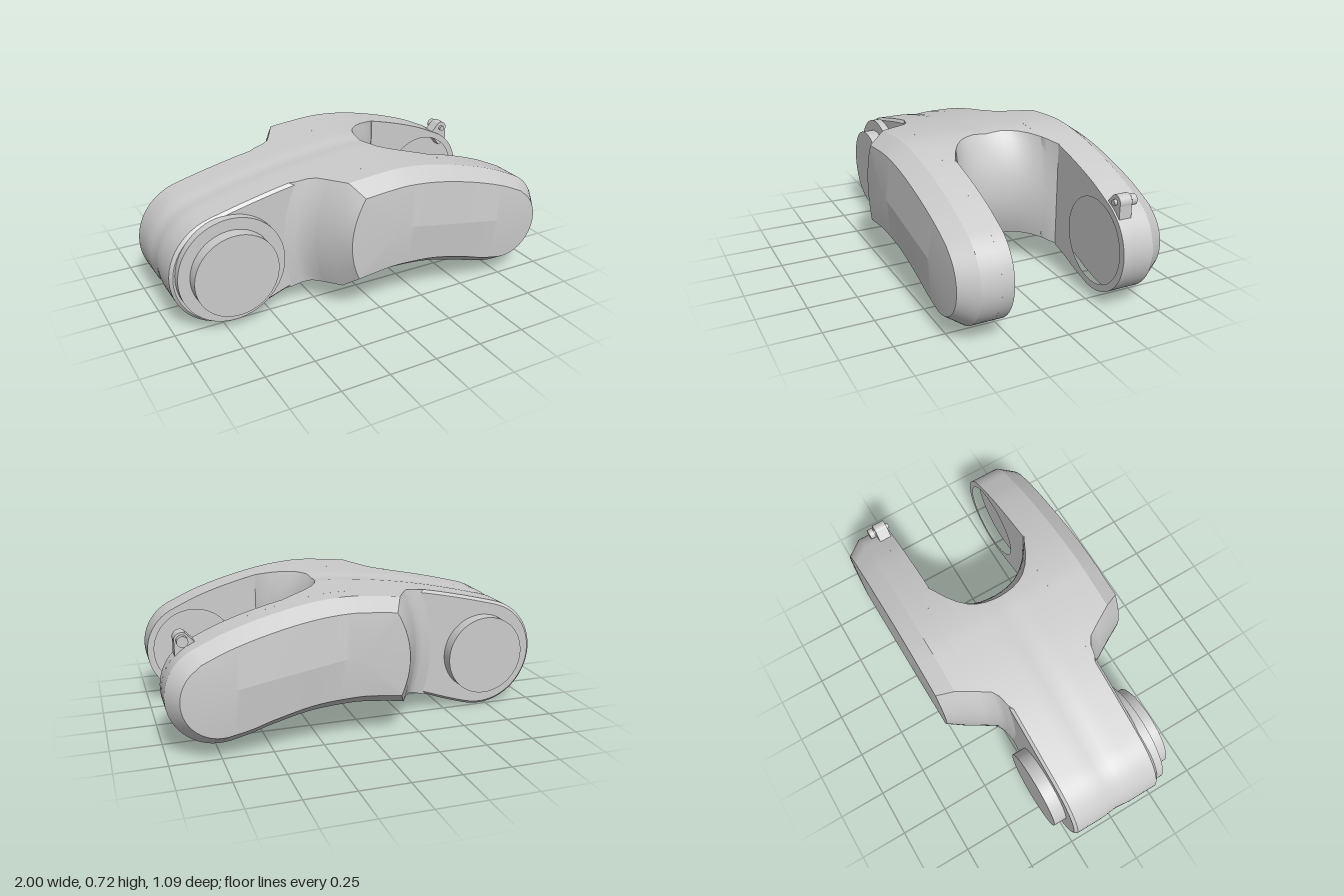
import * as THREE from 'three';
import { toCreasedNormals } from 'three/addons/utils/BufferGeometryUtils.js';

const grey = new THREE.MeshStandardMaterial({ color: 0xcccccc });
const N = 44, M = 14; // points along the top/bottom and along each end

// Arched side outline: round ends joined by smooth curves
const PIVOT = { x: -0.71, y: 0.29, r: 0.29 };
const SOCKET = { x: 0.745, y: 0.305, r: 0.25 };
const TOP = [[-0.78, 0.572], [-0.6, 0.617], [-0.4, 0.66], [-0.2, 0.692], [0, 0.713], [0.13, 0.719],
  [0.3, 0.703], [0.5, 0.66], [0.7, 0.598], [0.85, 0.532]];
const BOTTOM = [[-0.62, 0.014], [-0.5, 0.052], [-0.4, 0.088], [-0.2, 0.147], [0, 0.175], [0.1, 0.179],
  [0.3, 0.163], [0.5, 0.115], [0.6, 0.083], [0.68, 0.064]];

function hermite(p, x) {
  let i = 0;
  while (i < p.length - 2 && x > p[i + 1][0]) i++;
  const slope = (k) => {
    const a = p[Math.max(k - 1, 0)], b = p[Math.min(k + 1, p.length - 1)];
    return (b[1] - a[1]) / (b[0] - a[0]);
  };
  const h = p[i + 1][0] - p[i][0], t = (x - p[i][0]) / h, t2 = t * t, t3 = t2 * t;
  return (2 * t3 - 3 * t2 + 1) * p[i][1] + (t3 - 2 * t2 + t) * h * slope(i)
    + (3 * t2 - 2 * t3) * p[i + 1][1] + (t3 - t2) * h * slope(i + 1);
}

// Height of the outline at x; sign +1 is the top, -1 the bottom
function height(x, sign, inset) {
  const p = sign > 0 ? TOP : BOTTOM;
  const cap = x < p[0][0] ? PIVOT : x > p[p.length - 1][0] ? SOCKET : null;
  if (!cap) return hermite(p, x) - sign * inset;
  return cap.y + sign * Math.sqrt(Math.max(0, (cap.r - inset) ** 2 - (x - cap.x) ** 2));
}

// Cross-section at depth z, between end edges given as [top x, bottom x, bulge]
function ring(z, left, right, inset = 0) {
  const pts = [], ease = (t) => (1 - Math.cos(Math.PI * t)) / 2;
  const along = (k, t) => THREE.MathUtils.lerp(left[k], right[k], ease(t));
  const edge = (e, t) => {
    const y = THREE.MathUtils.lerp(height(e[0], 1, inset), height(e[1], -1, inset), t);
    return new THREE.Vector3(e[0] + (e[1] - e[0]) * t + e[2] * 4 * t * (1 - t), y, z);
  };
  for (let i = 0; i <= N; i++) { const x = along(0, i / N); pts.push(new THREE.Vector3(x, height(x, 1, inset), z)); }
  for (let j = 1; j < M; j++) pts.push(edge(right, j / M));
  for (let i = N; i >= 0; i--) { const x = along(1, i / N); pts.push(new THREE.Vector3(x, height(x, -1, inset), z)); }
  for (let j = M - 1; j > 0; j--) pts.push(edge(left, j / M));
  return pts;
}

// Skin over rings ordered by rising z, with flat ends
function loft(rings, crease = 0.4) {
  const pos = [];
  const tri = (a, b, c) => {
    const area = b.clone().sub(a).cross(c.clone().sub(a)).length();
    if (area > 1e-9) for (const v of [a, b, c]) pos.push(v.x, v.y, v.z);
  };
  for (let k = 0; k < rings.length - 1; k++) {
    const r = rings[k], s = rings[k + 1];
    for (let i = 0; i < r.length; i++) {
      const j = (i + 1) % r.length;
      tri(r[i], s[i], r[j]);
      tri(r[j], s[i], s[j]);
    }
  }
  for (const [r, facing] of [[rings[0], -1], [rings[rings.length - 1], 1]]) {
    const faces = THREE.ShapeUtils.triangulateShape(r.map((v) => new THREE.Vector2(v.x, v.y)), []);
    for (const [a, b, c] of faces) {
      const cross = (r[b].x - r[a].x) * (r[c].y - r[a].y) - (r[b].y - r[a].y) * (r[c].x - r[a].x);
      if (cross * facing > 0) tri(r[a], r[b], r[c]); else tri(r[a], r[c], r[b]);
    }
  }
  const g = new THREE.BufferGeometry();
  g.setAttribute('position', new THREE.Float32BufferAttribute(pos, 3));
  return toCreasedNormals(g, crease);
}

// Bulging wall of the fork's throat
function throat(z) {
  const u = Math.min(1, Math.abs(z) / 0.28);
  const mid = 0.26 + 0.14 * u ** 2.5, cut = 0.1 * (1 - u ** 4);
  return [mid - cut, mid - cut / 2, cut * 0.75];
}

const flare = (x) => [x, x - 0.03, -0.055]; // curved shoulder edge
const tip = (inset) => { const x = SOCKET.x + SOCKET.r - inset; return [x, x, 0]; };

export function createModel() {
  const group = new THREE.Group();
  const add = (name, geometry) => {
    const mesh = new THREE.Mesh(geometry, grey);
    mesh.name = name;
    group.add(mesh);
    return mesh;
  };
  const disc = (name, r, z0, z1, x, y, sides = 64) =>
    add(name, new THREE.CylinderGeometry(r, r, z1 - z0, sides).rotateX(Math.PI / 2).translate(x, y, (z0 + z1) / 2));

  // Central body with a shallow groove along its middle
  const bodyRings = [];
  for (const z of [-0.25, -0.235, -0.2, -0.16, -0.12, -0.08, -0.04, 0, 0.04, 0.08, 0.12, 0.16, 0.2, 0.235, 0.25]) {
    const inset = Math.abs(z) > 0.24 ? 0.015 : 0.008 * Math.max(0, 1 - Math.abs(z) / 0.08);
    const end = PIVOT.x - PIVOT.r + inset;
    bodyRings.push(ring(z, [end, end, 0], throat(z), inset));
  }
  add('body', loft(bodyRings, 0.5));

  for (const s of [1, -1]) {
    const side = s > 0 ? 'front' : 'back';
    const order = (rings) => (s > 0 ? rings : rings.reverse());

    // Shoulder flaring out from the body to the arm
    add(side + 'Shoulder', loft(order([[0.235, -0.37], [0.25, -0.34], [0.262, -0.285], [0.285, -0.247], [0.34, -0.213]]
      .map(([z, x]) => ring(s * z, flare(x), throat(z)))), 0.6));

    // Arm with a chamfered rim and a faceted cover rising to a ridge
    const armRings = [[0.34, -0.213, 0], [0.44, -0.155, 0], [0.527, -0.11, 0.06]]
      .map(([z, x, inset]) => ring(s * z, flare(x), tip(inset), inset));
    armRings.push(armRings[2].map((v) => {
      const x = THREE.MathUtils.clamp(v.x, 0.1, 0.68);
      return new THREE.Vector3(x, 0.45 - 0.1 * (x - 0.1) / 0.58, s * 0.545);
    }));
    add(side + 'Arm', loft(order(armRings)));

    // Inner plate holding the round socket recess
    const outline = ring(0, throat(0.28), tip(0)).map((v) => new THREE.Vector2(v.x, v.y));
    const plate = new THREE.Shape(outline);
    plate.holes.push(new THREE.Path().absarc(SOCKET.x, SOCKET.y, 0.215, 0, Math.PI * 2, true));
    const plateGeo = new THREE.ExtrudeGeometry(plate, { depth: 0.06, bevelEnabled: false, curveSegments: 48 });
    plateGeo.translate(0, 0, s > 0 ? 0.28 : -0.34);
    add(side + 'SocketPlate', toCreasedNormals(plateGeo, 0.5));
  }

  // Pivot bosses
  disc('frontPivotCollar', 0.275, 0.2, 0.29, -0.7, 0.3);
  disc('frontPivotDisc', 0.215, 0.25, 0.353, -0.7, 0.3);
  disc('backPivotDisc', 0.208, -0.318, -0.2, -0.7, 0.3);

  // Small latch tab and its pin on the back arm
  const tab = new THREE.Shape();
  tab.moveTo(0.82, 0.53);
  tab.lineTo(0.87, 0.585);
  tab.absarc(0.89, 0.555, 0.036, 2.1, -0.3, true);
  tab.lineTo(0.925, 0.48);
  tab.lineTo(0.88, 0.45);
  tab.closePath();
  add('latchTab', new THREE.ExtrudeGeometry(tab, { depth: 0.065, bevelEnabled: false })).position.z = -0.355;
  disc('latchPin', 0.014, -0.39, -0.275, 0.89, 0.555, 20);
  disc('latchPinHead', 0.027, -0.39, -0.362, 0.89, 0.555, 24);

  return group;
}
